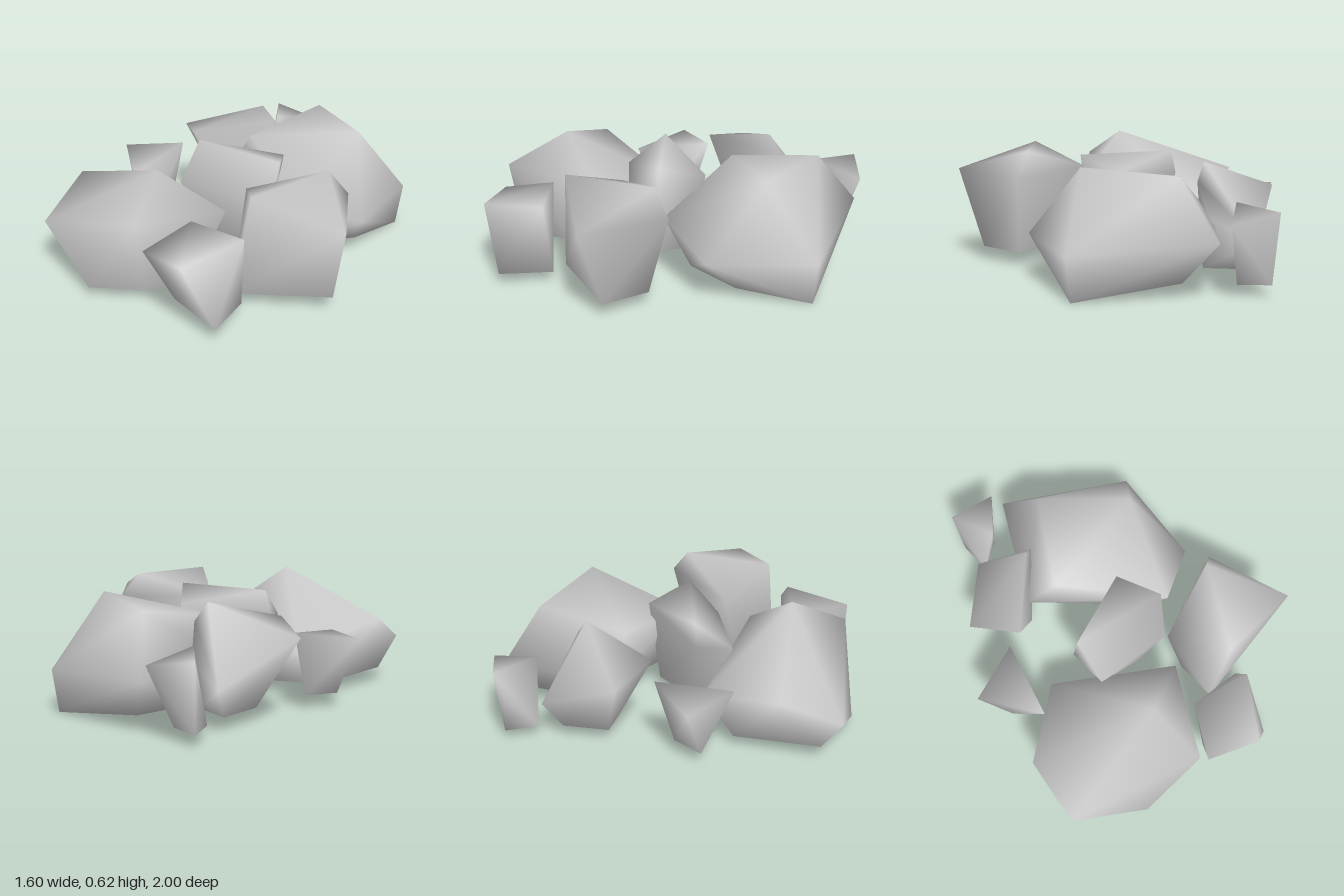
import * as THREE from 'three';
import { mergeVertices } from 'three/addons/utils/BufferGeometryUtils.js';
import { ConvexGeometry } from 'three/addons/geometries/ConvexGeometry.js';

const stone = new THREE.MeshStandardMaterial({ color: 0xcccccc, side: THREE.DoubleSide });
stone.name = 'grey stone';

const RIM_HEIGHT = 0.1; // corners below this height form the open underside

// A smooth-shaded hollow boulder: the convex hull of its body corners and its
// bottom rim, with the faces that would close the underside left out
function rock(name, body, rim) {
  const hull = new ConvexGeometry([...body, ...rim].map((c) => new THREE.Vector3(...c)));
  const p = hull.getAttribute('position');
  const kept = [];
  for (let i = 0; i < p.count; i += 3) {
    const top = Math.max(p.getY(i), p.getY(i + 1), p.getY(i + 2));
    if (top > RIM_HEIGHT) kept.push(...p.array.slice(i * 3, i * 3 + 9));
  }
  let geo = new THREE.BufferGeometry();
  geo.setAttribute('position', new THREE.Float32BufferAttribute(kept, 3));
  geo = mergeVertices(geo, 1e-4);
  geo.computeVertexNormals();
  const mesh = new THREE.Mesh(geo, stone);
  mesh.name = name;
  return mesh;
}

export function createModel() {
  const group = new THREE.Group();
  group.name = 'rockCluster';

  // Two large boulders
  group.add(rock('largeFrontRock', [
    [-0.18, 0.62, 0.54], [-0.74, 0.40, 0.25], [-0.35, 0.26, 0.0], [-0.80, 0.25, 0.57],
    [-0.17, 0.465, 0.85], [0.125, 0.40, 0.43],
  ], [
    [-0.71, 0.08, 0.50], [-0.46, 0.05, 0.785], [-0.19, 0.05, 0.72],
    [0.0, 0.07, 0.54], [-0.14, 0.06, 0.14], [-0.46, 0.06, 0.13],
  ]));
  group.add(rock('largeBackRock', [
    [0.59, 0.59, -0.32], [0.27, 0.565, -0.68], [0.0, 0.49, -0.30], [0.39, 0.35, 0.14],
    [-0.12, 0.30, -0.40], [0.21, 0.28, -0.91], [0.80, 0.22, -0.53], [0.70, 0.23, 0.0],
  ], [
    [0.77, 0.0, -0.52], [0.63, 0.05, -0.17], [0.37, 0.06, 0.0], [0.12, 0.07, -0.52], [0.29, 0.07, -0.73],
  ]));

  // Medium rocks
  group.add(rock('blockyRock', [
    [0.32, 0.59, 0.61], [0.78, 0.48, 0.615], [0.58, 0.60, 0.22], [0.67, 0.47, 0.17], [0.19, 0.48, 0.31],
  ], [
    [0.70, 0.07, 0.50], [0.225, 0.06, 0.615], [0.62, 0.07, 0.26], [0.24, 0.06, 0.40],
  ]));
  group.add(rock('backRock', [
    [0.0, 0.59, -0.50], [-0.31, 0.49, -0.25], [-0.45, 0.43, -0.48], [0.06, 0.50, -0.53],
    [0.05, 0.33, -0.62], [-0.12, 0.22, -0.775],
  ], [
    [-0.12, 0.07, -0.67], [-0.23, 0.07, -0.46], [-0.12, 0.07, -0.38], [0.03, 0.07, -0.54],
  ]));
  group.add(rock('middleRock', [
    [-0.17, 0.57, 0.02], [0.31, 0.57, 0.15], [0.25, 0.50, -0.10], [-0.20, 0.41, 0.215],
    [-0.20, 0.45, 0.02], [0.21, 0.40, 0.28],
  ], [
    [-0.10, 0.07, 0.06], [0.10, 0.07, 0.20], [0.20, 0.07, 0.15], [0.19, 0.07, -0.06],
  ]));

  // Small rocks
  group.add(rock('smallFrontRock', [
    [-0.12, 0.36, 0.875], [0.03, 0.43, 0.64], [0.33, 0.43, 0.73], [0.12, 0.38, 1.0], [0.30, 0.40, 0.68],
  ], [
    [0.27, 0.06, 0.955], [0.30, 0.06, 0.685], [-0.01, 0.07, 0.77],
  ]));
  group.add(rock('smallSideRock', [
    [-0.69, 0.38, -0.19], [-0.38, 0.41, -0.26], [-0.51, 0.36, 0.11],
  ], [
    [-0.57, 0.07, -0.08], [-0.42, 0.07, -0.17], [-0.46, 0.07, 0.0],
  ]));
  group.add(rock('smallBackRock', [
    [0.0, 0.43, -0.76], [0.175, 0.37, -0.95], [-0.07, 0.41, -1.0], [-0.08, 0.25, -0.95],
  ], [
    [-0.07, 0.06, -0.79], [-0.06, 0.06, -0.96], [0.07, 0.06, -0.86],
  ]));

  return group;
}
